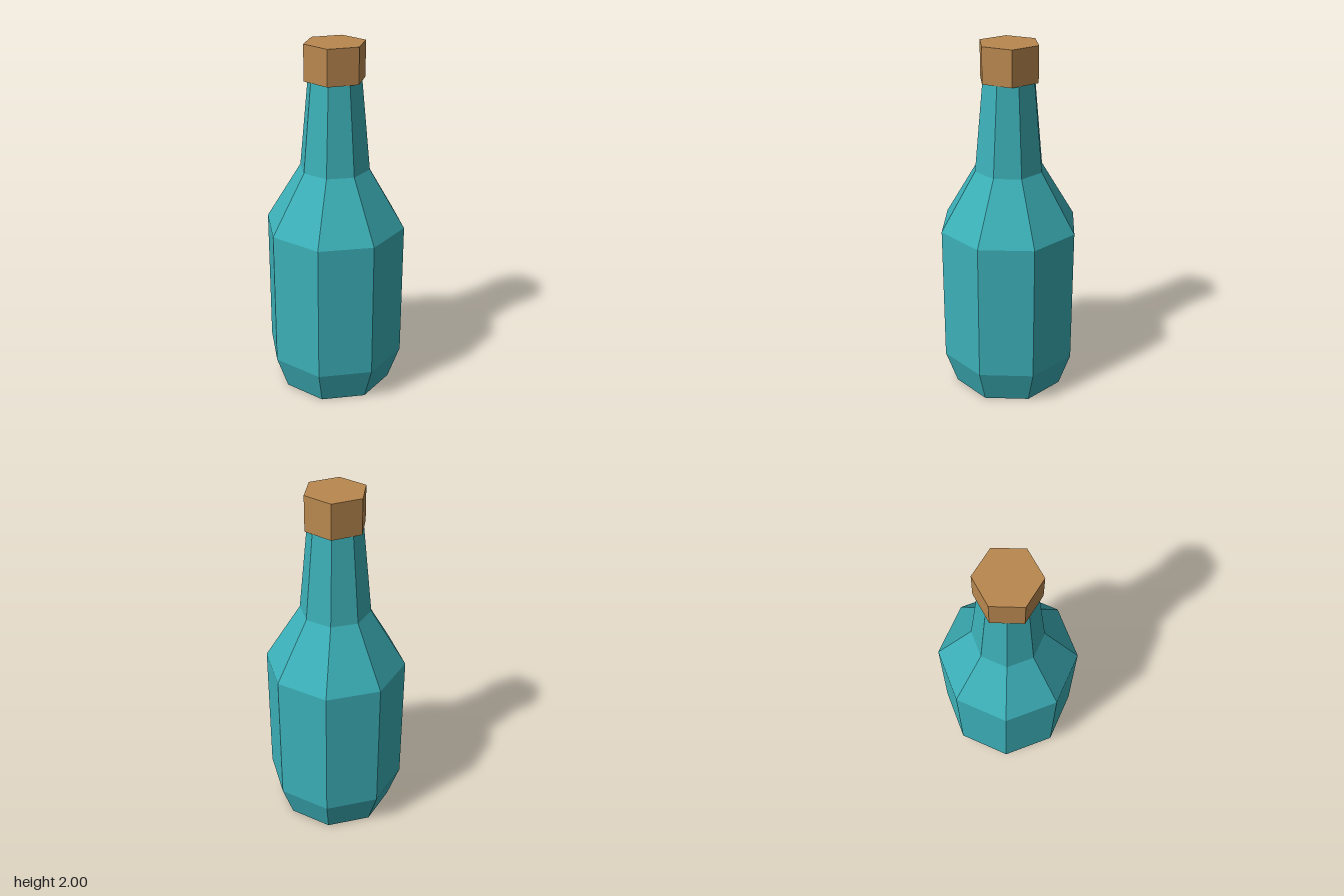
import * as THREE from 'three';

export function createModel() {
  const model = new THREE.Group();
  model.name = 'bottle';

  const glass = new THREE.MeshStandardMaterial({ color: 0x3cb0b8, flatShading: true });
  const cork = new THREE.MeshStandardMaterial({ color: 0xb9884f, flatShading: true });

  // Eight-sided body: base, chamfer, wall, shoulder, neck, closed under the stopper
  const profile = [
    [0, 0], [0.325, 0], [0.393, 0.2], [0.393, 0.985],
    [0.195, 1.315], [0.146, 1.82], [0, 1.82],
  ].map(([r, y]) => new THREE.Vector2(r, y));
  const body = new THREE.Mesh(new THREE.LatheGeometry(profile, 8), glass);
  body.name = 'bottleBody';
  model.add(body);

  // Six-sided stopper
  const stopper = new THREE.Mesh(new THREE.CylinderGeometry(0.169, 0.169, 0.195, 6), cork);
  stopper.name = 'stopper';
  stopper.position.y = 2 - 0.195 / 2;
  model.add(stopper);

  return model;
}
